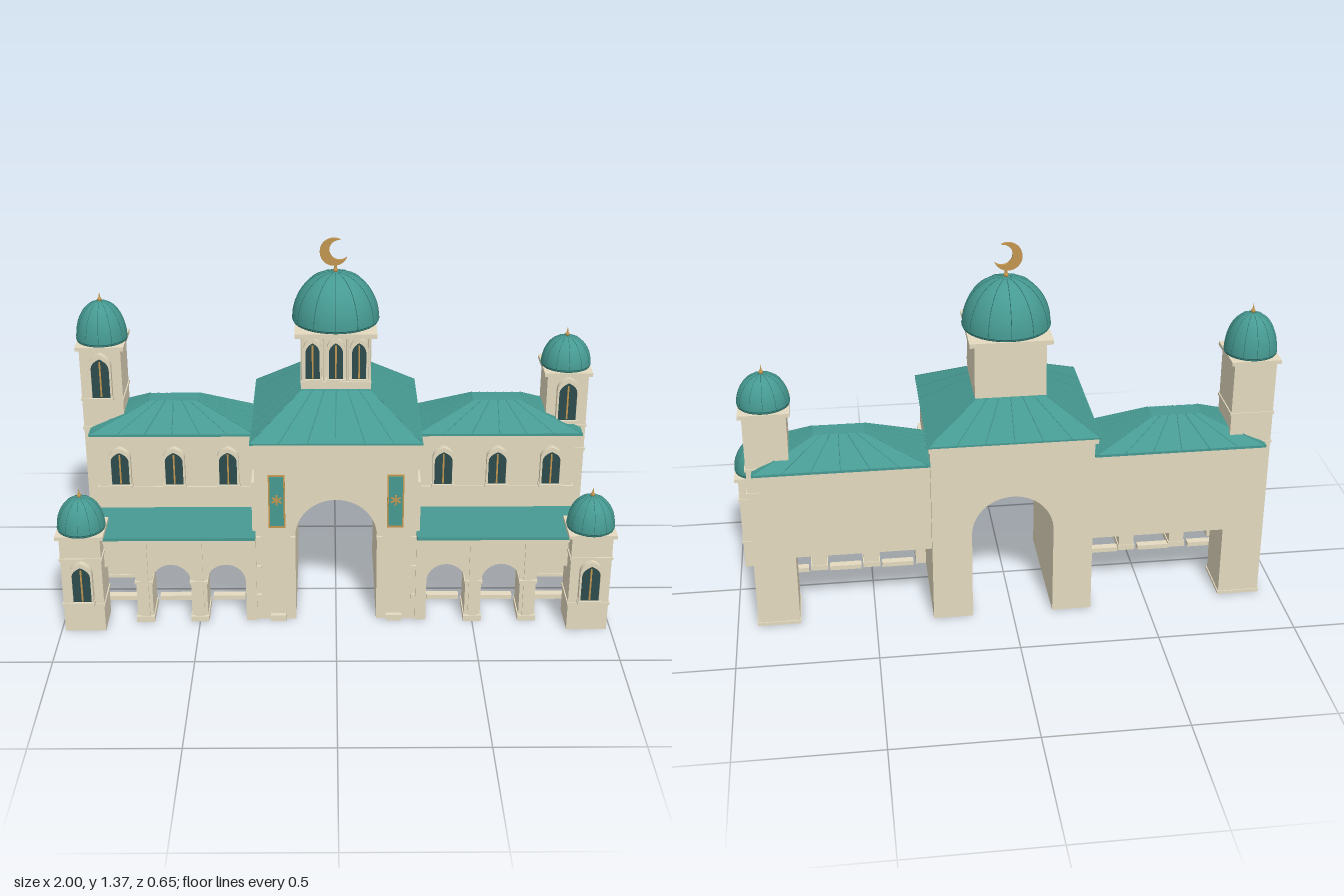
import * as THREE from 'three';

const mat = (name, color, side = THREE.FrontSide) => {
  const m = new THREE.MeshStandardMaterial({ color, side });
  m.name = name;
  return m;
};

export function createModel() {
  const root = new THREE.Group();
  const stone = mat('stone', 0xe4dabf);
  const teal = mat('teal roof', 0x469a92, THREE.DoubleSide);
  const rib = mat('dark teal rib', 0x2f726c);
  const glass = mat('window glass', 0x2d4c4d);
  const gold = mat('gold', 0xc29650);

  const add = (parent, name, geo, material, x = 0, y = 0, z = 0) => {
    const m = new THREE.Mesh(geo, material);
    m.name = name;
    m.position.set(x, y, z);
    parent.add(m);
    return m;
  };
  const group = (name, x = 0, y = 0, z = 0) => {
    const g = new THREE.Group();
    g.name = name;
    g.position.set(x, y, z);
    root.add(g);
    return g;
  };
  // box given by its extents
  const block = (p, name, x0, x1, y0, y1, z0, z1, m = stone) =>
    add(p, name, new THREE.BoxGeometry(Math.abs(x1 - x0), y1 - y0, z1 - z0), m,
      (x0 + x1) / 2, (y0 + y1) / 2, (z0 + z1) / 2);
  const extrude = (shape, depth) =>
    new THREE.ExtrudeGeometry(shape, { depth, bevelEnabled: false, curveSegments: 20 });

  // hipped roof: box whose top corners are drawn in to a smaller rectangle, with fanned seams
  const hipRoof = (p, b, y0, t, y1) => {
    const geo = new THREE.BoxGeometry(1, 1, 1).toNonIndexed();
    const a = geo.attributes.position;
    for (let i = 0; i < a.count; i++) {
      const r = a.getY(i) > 0 ? t : b;
      a.setXYZ(i, a.getX(i) > 0 ? r[1] : r[0], a.getY(i) > 0 ? y1 : y0, a.getZ(i) > 0 ? r[3] : r[2]);
    }
    geo.computeVertexNormals();
    add(p, 'hippedRoof', geo, teal);
    const corner = (r, y, i) => new THREE.Vector3(r[i === 1 || i === 2 ? 1 : 0], y, r[i > 1 ? 3 : 2]);
    for (let i = 0; i < 4; i++) {
      for (let k = 0; k < 6; k++) {
        const low = corner(b, y0, i).lerp(corner(b, y0, (i + 1) % 4), k / 6);
        const high = corner(t, y1, i).lerp(corner(t, y1, (i + 1) % 4), k / 6);
        add(p, 'roofSeam', new THREE.TubeGeometry(new THREE.LineCurve3(low, high), 1, 0.0018, 5), teal);
      }
    }
  };

  // wall with open round arches rising from the ground
  const archWall = (half, h, arches, r, spring) => {
    const s = new THREE.Shape();
    s.moveTo(-half, 0);
    for (const c of arches) {
      s.lineTo(c - r, 0);
      s.lineTo(c - r, spring);
      s.absarc(c, spring, r, Math.PI, 0, true);
      s.lineTo(c + r, 0);
    }
    s.lineTo(half, 0);
    s.lineTo(half, h);
    s.lineTo(-half, h);
    return s;
  };

  const pointed = (s, w, h) => {
    s.moveTo(-w / 2, 0);
    s.lineTo(w / 2, 0);
    s.lineTo(w / 2, h * 0.72);
    s.quadraticCurveTo(w / 2, h * 0.9, 0, h);
    s.quadraticCurveTo(-w / 2, h * 0.9, -w / 2, h * 0.72);
    s.lineTo(-w / 2, 0);
    return s;
  };
  // framed pointed window standing on a wall at z
  const windowAt = (p, x, y, z, w, h, d = 0.024) => {
    const g = new THREE.Group();
    g.name = 'window';
    g.position.set(x, y, z);
    p.add(g);
    const frame = pointed(new THREE.Shape(), w + 0.014, h + 0.018);
    frame.holes.push(pointed(new THREE.Path(), w, h));
    add(g, 'windowFrame', extrude(frame, d), stone, 0, -0.006, 0);
    add(g, 'windowPane', extrude(pointed(new THREE.Shape(), w, h), 0.006), glass, 0, -0.006, d * 0.5);
    block(g, 'windowMullion', -0.003, 0.003, 0, h * 0.88, d * 0.5, d * 0.5 + 0.009, gold);
    block(g, 'windowSill', -w / 2 - 0.01, w / 2 + 0.01, -0.016, -0.004, 0, d + 0.004);
  };

  // ribbed dome with base ring and optional finial
  const dome = (p, x, y, z, r, h, finial = true) => {
    const g = new THREE.Group();
    g.name = 'dome';
    g.position.set(x, y, z);
    p.add(g);
    const at = (t, k = 0) => [(r + k) * Math.cos(t) ** 0.92, (h + k) * Math.sin(t)];
    const prof = [];
    for (let i = 0; i <= 16; i++) {
      const [a, b] = at(Math.min(i / 16 * Math.PI / 2, Math.PI / 2 - 1e-4));
      prof.push(new THREE.Vector2(a, b));
    }
    add(g, 'domeShell', new THREE.LatheGeometry(prof, 36), teal);
    add(g, 'domeBase', new THREE.CylinderGeometry(r * 1.01, r * 0.98, 0.01, 36), rib);
    const path = [0, 1, 2, 3, 4, 5, 6].map((i) => {
      const [a, b] = at(i / 6 * 1.5, 0.0002);
      return new THREE.Vector3(a, b, 0);
    });
    const ribGeo = new THREE.TubeGeometry(new THREE.CatmullRomCurve3(path), 14, r * 0.008, 5);
    for (let i = 0; i < 12; i++) add(g, 'domeRib', ribGeo, rib).rotation.y = i * Math.PI / 6;
    if (finial) {
      add(g, 'finialBall', new THREE.SphereGeometry(0.008, 12, 8), gold, 0, h + 0.006, 0);
      add(g, 'finialSpike', new THREE.ConeGeometry(0.005, 0.028, 10), gold, 0, h + 0.02, 0);
    }
  };

  // square tower with bands, one window and a dome
  const tower = (name, x, z, hx, hz, top, bands, win, r, h) => {
    const g = group(name, x, 0, z);
    block(g, 'towerShaft', -hx, hx, 0, top, -hz, hz);
    for (const b of bands) block(g, 'towerBand', -hx - 0.004, hx + 0.004, b - 0.005, b + 0.005, -hz - 0.004, hz + 0.004);
    block(g, 'towerCornice', -hx - 0.013, hx + 0.013, top - 0.008, top + 0.006, -hz - 0.01, hz + 0.01);
    windowAt(g, 0, win[0], hz, 0.066, win[1]);
    dome(g, 0, top + 0.01, 0, r, h);
  };

  // central gate block with through passage
  const gate = group('gate');
  add(gate, 'gateBody', extrude(archWall(0.29, 0.705, [0], 0.147, 0.345), 0.495), stone, 0, 0, -0.28);
  block(gate, 'gateCornice', -0.297, 0.297, 0.70, 0.727, -0.312, 0.243);
  block(gate, 'gateEave', -0.303, 0.303, 0.726, 0.732, -0.328, 0.257, teal);
  hipRoof(gate, [-0.302, 0.302, -0.327, 0.256], 0.731, [-0.125, 0.125, -0.215, 0.06], 0.85);
  for (const s of [-1, 1]) {
    const x = s * 0.212;
    block(gate, 'bannerFrame', x - 0.03, x + 0.03, 0.382, 0.592, 0.212, 0.219, gold);
    block(gate, 'banner', x - 0.0245, x + 0.0245, 0.391, 0.586, 0.216, 0.222, teal);
    for (let i = 0; i < 3; i++)
      add(gate, 'bannerRosette', new THREE.BoxGeometry(0.04, 0.006, 0.004), gold, x, 0.495, 0.223).rotation.z = i * Math.PI / 3 + 0.5;
    block(gate, 'gatePlinth', x - 0.028, x + 0.028, 0, 0.024, 0.21, 0.232);
    block(gate, 'archImpost', s * 0.146, s * 0.165, 0.335, 0.346, 0.2, 0.224);
    for (const y of [0.09, 0.21, 0.33])
      block(gate, 'cornerStone', s * 0.272, s * 0.291, y, y + 0.016, 0.195, 0.224);
    block(gate, 'sideButtress', s * 0.28, s * 0.302, 0, 0.557, 0.1, 0.205);
  }

  // drum and main dome
  const drum = group('drum', 0, 0, -0.08);
  block(drum, 'drumBody', -0.125, 0.125, 0.83, 1.06, -0.128, 0.128);
  block(drum, 'drumCornice', -0.145, 0.145, 1.052, 1.068, -0.155, 0.155);
  block(drum, 'drumLedge', -0.125, 0.125, 0.878, 0.89, 0.12, 0.158);
  for (const x of [-0.082, 0, 0.082]) windowAt(drum, x, 0.9, 0.128, 0.05, 0.14);
  for (const x of [-0.118, -0.041, 0.041, 0.118])
    add(drum, 'drumColumn', new THREE.CylinderGeometry(0.005, 0.005, 0.165, 8), stone, x, 0.97, 0.145);
  dome(drum, 0, 1.072, 0, 0.155, 0.175, false);

  // crescent finial
  add(drum, 'crescentStem', new THREE.CylinderGeometry(0.004, 0.007, 0.04, 10), gold, 0, 1.26, 0);
  add(drum, 'crescentBall', new THREE.SphereGeometry(0.009, 12, 8), gold, 0, 1.253, 0);
  const moon = new THREE.Shape();
  moon.absarc(0, 0, 0.05, 0.747, Math.PI * 2 - 0.747, false);
  moon.absarc(0.022, 0, 0.037, Math.PI * 2 - 1.163, 1.163, true);
  add(drum, 'crescent', extrude(moon, 0.012), gold, -0.006, 1.32, -0.006).rotation.z = 0.35;

  // both wings: raised hall behind, arcade in front
  for (const s of [-1, 1]) {
    const hall = group('wingHall', s * 0.6);
    block(hall, 'hallBody', s * -0.32, s * 0.285, 0.285, 0.63, -0.258, -0.055);
    block(hall, 'hallBand', s * -0.31, s * 0.29, 0.402, 0.412, -0.1, -0.049);
    block(hall, 'hallCornice', s * -0.31, s * 0.292, 0.615, 0.635, -0.272, -0.038);
    block(hall, 'hallEave', s * -0.31, s * 0.306, 0.633, 0.642, -0.288, -0.018, teal);
    hipRoof(hall, [-0.306, 0.306, -0.288, -0.018], 0.641, [-0.09, 0.09, -0.19, -0.118], 0.735);
    for (const x of [-0.2, 0, 0.2]) windowAt(hall, x, 0.432, -0.055, 0.066, 0.135);

    const arcade = group('arcade', s * 0.6);
    const centres = [-0.2, 0, 0.2];
    add(arcade, 'arcadeWall', extrude(archWall(0.31, 0.345, centres, 0.071, 0.163), 0.125), stone, 0, 0, 0.1);
    block(arcade, 'arcadeCornice', s * -0.31, s * 0.32, 0.338, 0.351, 0.022, 0.25);
    block(arcade, 'arcadeRoof', s * -0.31, s * 0.325, 0.35, 0.361, 0.017, 0.257, teal);
    for (const c of centres) block(arcade, 'bench', c - 0.06, c + 0.06, 0.012, 0.03, 0.072, 0.101);
    for (const c of [-0.1, 0.1]) {
      block(arcade, 'pilaster', c - 0.016, c + 0.016, 0, 0.34, 0.22, 0.232);
      block(arcade, 'pierCapital', c - 0.033, c + 0.033, 0.158, 0.168, 0.097, 0.234);
      block(arcade, 'pierBase', c - 0.033, c + 0.033, 0, 0.022, 0.097, 0.236);
    }
    tower('frontTower', s * 0.912, 0.226, 0.073, 0.068, 0.385, [0.11, 0.295], [0.135, 0.145], 0.086, 0.117);
  }

  // rear towers of unequal height
  tower('rearTowerRight', -0.855, -0.17, 0.075, 0.084, 0.955, [0.01, 0.64, 0.755], [0.772, 0.155], 0.093, 0.142);
  tower('rearTowerLeft', 0.85, -0.168, 0.075, 0.084, 0.852, [0.01, 0.55, 0.645], [0.68, 0.15], 0.091, 0.108);

  return root;
}
